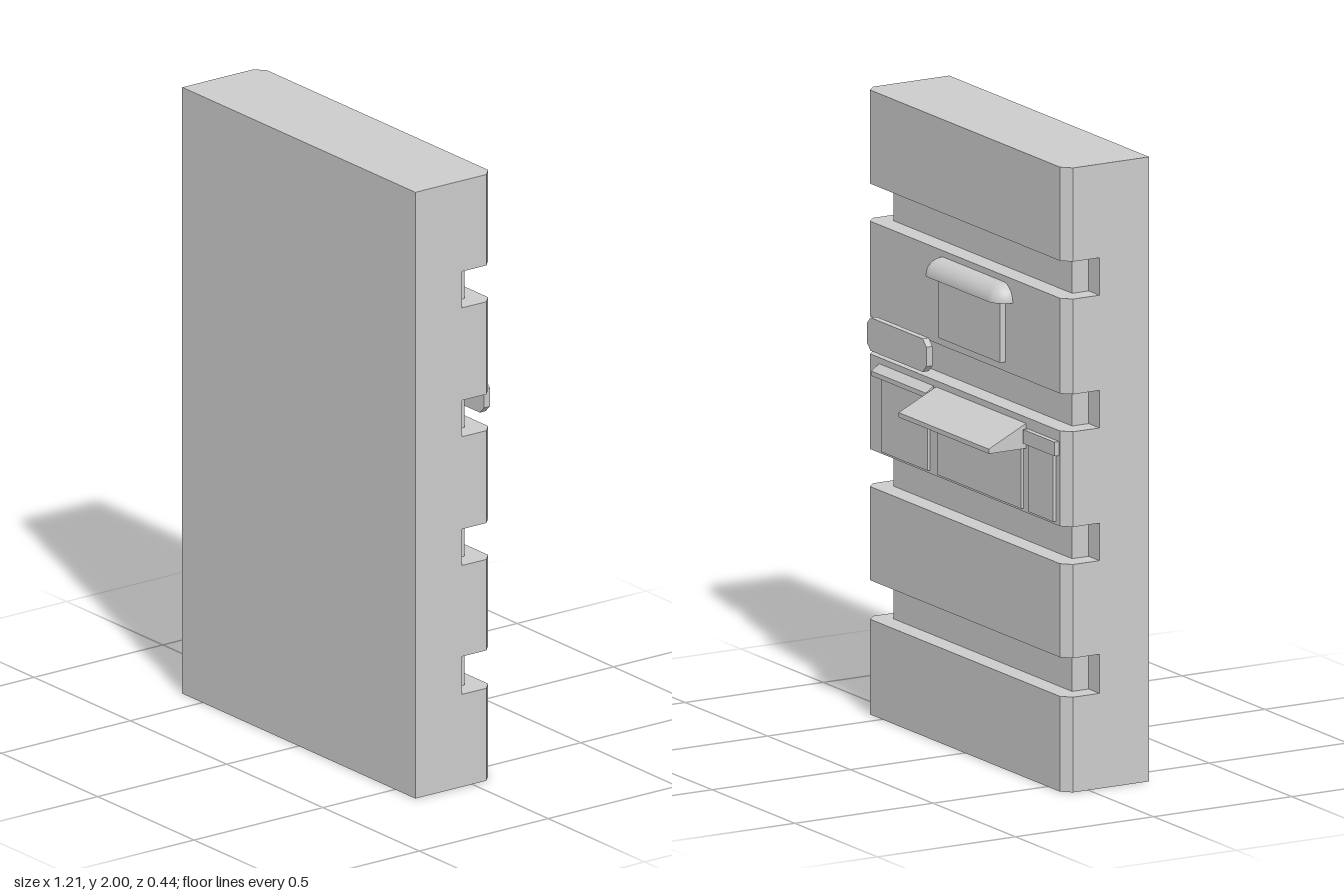
import * as THREE from 'three';

const material = new THREE.MeshStandardMaterial({ color: 0xcccccc, flatShading: true });
const smooth = new THREE.MeshStandardMaterial({ color: 0xcccccc, side: THREE.DoubleSide });
const WALL = -0.085; // z of the detailed rear face

export function createModel() {
  const group = new THREE.Group();

  const add = (name, geometry, mat = material) => {
    const mesh = new THREE.Mesh(geometry, mat);
    mesh.name = name;
    group.add(mesh);
    return mesh;
  };
  // Box given by its limits on each axis
  const box = (name, [x0, x1], [y0, y1], [z0, z1]) =>
    add(name, new THREE.BoxGeometry(x1 - x0, y1 - y0, z1 - z0))
      .position.set((x0 + x1) / 2, (y0 + y1) / 2, (z0 + z1) / 2);
  const extrude = (points, depth) => new THREE.ExtrudeGeometry(
    new THREE.Shape(points.map(([x, y]) => new THREE.Vector2(x, y))),
    { depth, bevelEnabled: false });

  // Plain backing slab and the recessed core seen in the grooves
  box('backingSlab', [-0.605, 0.605], [0, 2], [0.04, 0.22]);
  box('grooveCore', [-0.54, 0.54], [0, 2], [-0.02, 0.04]);

  // Storey bands with chamfered corners, separated by grooves
  const plan = [[-0.605, -0.04], [0.605, -0.04], [0.605, 0.055],
    [0.575, 0.085], [-0.575, 0.085], [-0.605, 0.055]];
  [[0, 0.305], [0.43, 0.73], [0.85, 1.155], [1.275, 1.58], [1.7, 2]].forEach(([y0, y1], i) => {
    const g = extrude(plan, y1 - y0);
    g.rotateX(-Math.PI / 2);
    add(`storeyBand${i + 1}`, g).position.y = y0;
  });

  // Shallow panels on the wall
  box('upperWindow', [-0.245, 0.13], [1.305, 1.505], [-0.105, WALL]);
  box('shopWindow', [-0.355, 0.15], [0.86, 1.06], [-0.095, WALL]);
  box('sideShutter', [0.21, 0.49], [0.86, 1.105], [-0.095, WALL]);
  box('narrowDoor', [-0.55, -0.4], [0.86, 1.075], [-0.095, WALL]);
  box('doorLintel', [-0.57, -0.38], [1.075, 1.12], [-0.102, WALL]);

  // Sloping awnings: profile [distance behind centre, height], swept along x
  const awning = (name, x0, x1, profile) => {
    const g = extrude(profile, x1 - x0);
    g.rotateY(Math.PI / 2);
    add(name, g).position.x = x0;
  };
  awning('shopAwning', -0.37, 0.175,
    [[0.085, 1.055], [0.22, 1.055], [0.22, 1.07], [0.085, 1.135]]);
  awning('shutterAwning', 0.19, 0.52,
    [[0.085, 1.1], [0.113, 1.1], [0.113, 1.115], [0.085, 1.135]]);

  // Sign plate with clipped corners
  const w = 0.18, h = 0.053, c = 0.022;
  add('signPlate', extrude([[-w + c, -h], [w - c, -h], [w, -h + c], [w, h - c],
    [w - c, h], [-w + c, h], [-w, h - c], [-w, -h + c]], 0.022))
    .position.set(0.36, 1.234, -0.117);

  // Rounded canopy: quarter of a capsule lying along x, closed underneath
  const r = 0.057, half = 0.18, outline = [];
  for (const side of [-1, 1]) {
    for (let i = 0; i <= 10; i++) {
      const a = (side < 0 ? i - 10 : i) * Math.PI / 20;
      outline.push(new THREE.Vector2(Math.max(0, r * Math.cos(a)), side * half + r * Math.sin(a)));
    }
  }
  const dome = new THREE.LatheGeometry(outline, 10, Math.PI / 2, Math.PI / 2);
  dome.rotateZ(Math.PI / 2);
  const base = new THREE.ShapeGeometry(
    new THREE.Shape(outline.map((p) => new THREE.Vector2(p.y, p.x))));
  base.rotateX(-Math.PI / 2);
  for (const [name, g] of [['roundedCanopy', dome], ['canopyUnderside', base]]) {
    add(name, g, smooth).position.set(-0.053, 1.503, WALL);
  }

  return group;
}
